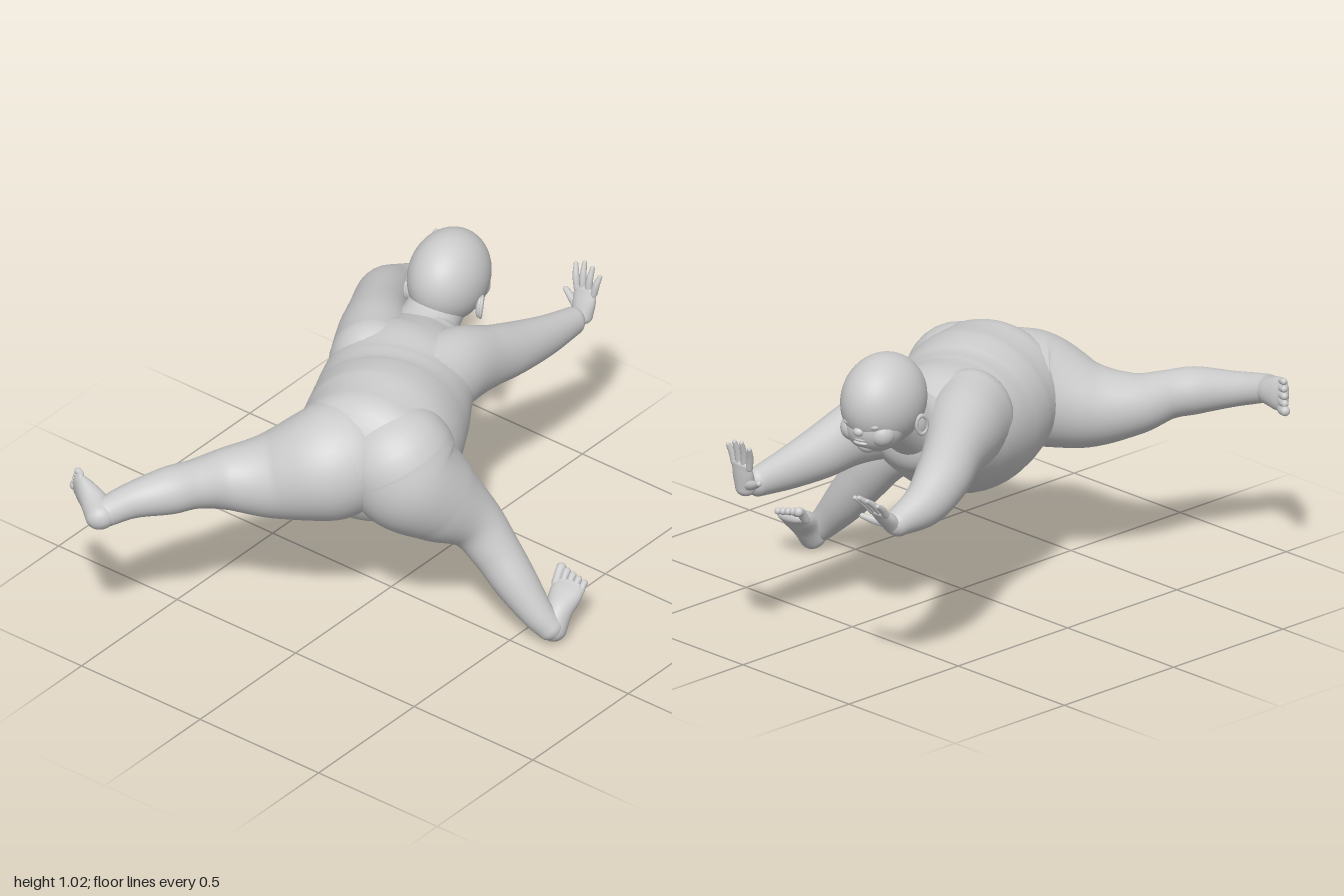
import * as THREE from 'three';

const material = new THREE.MeshStandardMaterial({ color: 0xcccccc, roughness: 0.8 });
const V = (x, y, z) => new THREE.Vector3(x, y, z);

// Smooth closed skin through elliptical stations [x, y, z, halfWidth, halfHeight], with domed ends.
function loftGeometry(stations, { sides = 32, steps = 8, cap = 0.9 } = {}) {
  const up = V(0, 1, 0);
  const path = new THREE.CatmullRomCurve3(stations.map(s => V(s[0], s[1], s[2])), false, 'catmullrom', 0.5);
  const size = new THREE.CatmullRomCurve3(stations.map(s => V(s[3], s[4] ?? s[3], 0)), false, 'catmullrom', 0.5);
  const rings = [];
  const domeSteps = 8;
  const addRing = (t, angle, sign) => {
    const tangent = path.getTangent(t);
    const r = size.getPoint(t);
    const side = up.clone().cross(tangent).normalize();
    const normal = tangent.clone().cross(side);
    const centre = path.getPoint(t).addScaledVector(tangent, sign * Math.sin(angle) * cap * Math.min(r.x, r.y));
    const k = Math.max(Math.cos(angle), 1e-4);
    rings.push({ centre, side: side.multiplyScalar(r.x * k), normal: normal.multiplyScalar(r.y * k) });
  };
  for (let i = domeSteps; i > 0; i--) addRing(0, (i / domeSteps) * Math.PI / 2, -1);
  const n = steps * (stations.length - 1);
  for (let i = 0; i <= n; i++) addRing(i / n, 0, 0);
  for (let i = 1; i <= domeSteps; i++) addRing(1, (i / domeSteps) * Math.PI / 2, 1);

  const position = [], index = [];
  rings.forEach((ring, i) => {
    for (let j = 0; j < sides; j++) {
      const a = (j / sides) * Math.PI * 2;
      const p = ring.centre.clone().addScaledVector(ring.side, Math.cos(a)).addScaledVector(ring.normal, Math.sin(a));
      position.push(p.x, p.y, p.z);
      if (i === rings.length - 1) continue;
      const k = (j + 1) % sides, r0 = i * sides, r1 = r0 + sides;
      index.push(r0 + j, r0 + k, r1 + j, r0 + k, r1 + k, r1 + j);
    }
  });
  const geometry = new THREE.BufferGeometry();
  geometry.setAttribute('position', new THREE.Float32BufferAttribute(position, 3));
  geometry.setIndex(index);
  geometry.computeVertexNormals();
  return geometry;
}

function add(parent, name, geometry) {
  const mesh = new THREE.Mesh(geometry, material);
  mesh.name = name;
  parent.add(mesh);
  return mesh;
}

const loft = (parent, name, stations, options) => add(parent, name, loftGeometry(stations, options));

function ellipsoid(parent, name, centre, radii) {
  const mesh = add(parent, name, new THREE.SphereGeometry(1, 40, 28));
  mesh.position.set(...centre);
  mesh.scale.set(...radii);
}

// Group whose local +z runs along dir and whose local +y points to the back of the hand or top of the foot.
function frame(parent, name, origin, dir, dorsal) {
  const z = V(...dir).normalize();
  const x = V(...dorsal).cross(z).normalize();
  const y = z.clone().cross(x);
  const group = new THREE.Group();
  group.name = name;
  group.position.set(...origin);
  group.quaternion.setFromRotationMatrix(new THREE.Matrix4().makeBasis(x, y, z));
  parent.add(group);
  return group;
}

const small = { sides: 12, steps: 5 };

function hand(parent, name, origin, dir, dorsal, thumbSide) {
  const g = frame(parent, name, origin, dir, dorsal);
  loft(g, 'palm', [[0, 0, 0, 0.036, 0.032], [0, 0, 0.05, 0.044, 0.024], [0, 0, 0.09, 0.043, 0.015]], { sides: 20, steps: 5 });
  const lengths = [0.085, 0.1, 0.092, 0.07];
  lengths.forEach((length, i) => {
    const u = (1.5 - i) * thumbSide;
    const x = u * 0.023, spread = u * 0.011;
    loft(g, 'finger', [
      [x, 0, 0.085, 0.012],
      [x + spread * 0.5, 0.004, 0.085 + length * 0.5, 0.0115],
      [x + spread, 0, 0.085 + length * 0.95, 0.008],
    ], small);
  });
  loft(g, 'thumb', [
    [0.02 * thumbSide, -0.004, 0.018, 0.019],
    [0.058 * thumbSide, -0.014, 0.036, 0.015],
    [0.094 * thumbSide, -0.02, 0.058, 0.01],
  ], small);
}

function foot(parent, name, origin, dir, dorsal, bigToeSide) {
  const g = frame(parent, name, origin, dir, dorsal);
  loft(g, 'sole', [
    [0, 0, 0, 0.046, 0.05],
    [0, 0.006, 0.06, 0.047, 0.047],
    [0, -0.002, 0.12, 0.056, 0.034],
    [0, -0.01, 0.158, 0.055, 0.021],
  ], { sides: 24 });
  for (let i = 0; i < 5; i++) {
    const x = (2 - i) * 0.0235 * bigToeSide;
    const r = i === 0 ? 0.017 : 0.0135 - i * 0.0004;
    const tip = 0.206 - i * 0.007;
    loft(g, 'toe', [[x, -0.008, 0.15, r * 0.9], [x, -0.002, tip - 0.016, r * 0.9], [x, -0.006, tip, r]], small);
  }
}

function buildHead(parent) {
  const g = new THREE.Group();
  g.name = 'head';
  g.position.set(-0.195, 0.87, -0.545);
  g.rotation.y = 0.22;
  parent.add(g);
  ellipsoid(g, 'skull', [0, 0, 0], [0.132, 0.156, 0.168]);
  ellipsoid(g, 'lowerFace', [0, -0.07, -0.055], [0.105, 0.09, 0.098]);
  ellipsoid(g, 'chin', [0, -0.128, -0.098], [0.036, 0.028, 0.03]);
  ellipsoid(g, 'nose', [0, -0.068, -0.15], [0.019, 0.016, 0.017]);
  ellipsoid(g, 'noseBridge', [0, -0.045, -0.147], [0.011, 0.03, 0.012]);
  for (const y of [-0.098, -0.11]) ellipsoid(g, 'lip', [0, y, -0.137], [0.028, 0.008, 0.014]);
  for (const s of [-1, 1]) {
    ellipsoid(g, 'cheek', [s * 0.055, -0.08, -0.095], [0.045, 0.045, 0.045]);
    ellipsoid(g, 'eyelid', [s * 0.046, -0.045, -0.136], [0.022, 0.012, 0.013]);
    // Ear: a flat shell with a raised rim
    const ear = new THREE.Group();
    ear.name = 'ear';
    ear.position.set(s * 0.125, -0.072, 0.03);
    ear.rotation.set(-0.25, s * 0.35, 0);
    g.add(ear);
    ellipsoid(ear, 'earShell', [0, 0, 0], [0.012, 0.038, 0.024]);
    const rim = add(ear, 'earRim', new THREE.TorusGeometry(0.024, 0.006, 10, 28));
    rim.rotation.y = Math.PI / 2;
    rim.scale.set(0.9, 1.4, 1);
    rim.position.x = s * 0.007;
  }
}

export function createModel() {
  const model = new THREE.Group();
  model.name = 'crawlingBaby';

  // Torso from pelvis to upper chest
  loft(model, 'torso', [
    [0.055, 0.652, 0.2, 0.255, 0.23],
    [0.015, 0.634, 0.08, 0.27, 0.255],
    [-0.045, 0.627, -0.04, 0.267, 0.248],
    [-0.095, 0.645, -0.14, 0.257, 0.228],
    [-0.13, 0.67, -0.23, 0.243, 0.206],
    [-0.15, 0.685, -0.31, 0.215, 0.172],
    [-0.17, 0.7, -0.38, 0.15, 0.13],
  ], { sides: 48, cap: 0.6 });
  loft(model, 'neck', [[-0.17, 0.71, -0.34, 0.125], [-0.185, 0.755, -0.43, 0.1], [-0.195, 0.81, -0.51, 0.095]]);
  buildHead(model);

  // Arms reaching forward
  loft(model, 'leftArm', [
    [-0.215, 0.71, -0.17, 0.145, 0.165],
    [-0.3, 0.712, -0.29, 0.128, 0.145],
    [-0.392, 0.7, -0.42, 0.1, 0.113],
    [-0.472, 0.665, -0.55, 0.09, 0.098],
    [-0.513, 0.62, -0.67, 0.071, 0.078],
    [-0.522, 0.592, -0.8, 0.047, 0.046],
  ]);
  hand(model, 'leftHand', [-0.517, 0.585, -0.81], [0.08, 0.66, -0.7], [0, 0.7, 0.66], -1);

  loft(model, 'rightArm', [
    [-0.02, 0.69, -0.2, 0.14, 0.155],
    [0.0, 0.695, -0.34, 0.12, 0.14],
    [0.022, 0.67, -0.48, 0.086, 0.11],
    [0.03, 0.64, -0.61, 0.079, 0.092],
    [0.04, 0.617, -0.75, 0.062, 0.072],
    [0.045, 0.604, -0.89, 0.045, 0.05],
  ]);
  hand(model, 'rightHand', [0.045, 0.6, -0.945], [-0.05, 0.96, -0.24], [0, 0.24, 0.96], 1);

  // Leg stretched backward, with its buttock
  loft(model, 'leftLeg', [
    [-0.01, 0.647, 0.25, 0.198],
    [-0.048, 0.63, 0.31, 0.192],
    [-0.17, 0.588, 0.41, 0.146],
    [-0.272, 0.588, 0.52, 0.105],
    [-0.32, 0.604, 0.63, 0.082],
    [-0.362, 0.607, 0.72, 0.079],
    [-0.425, 0.6, 0.83, 0.06],
    [-0.46, 0.588, 0.92, 0.05],
  ], { sides: 40 });
  foot(model, 'leftFoot', [-0.462, 0.583, 0.948], [-0.87, 0.2, -0.46], [0.4, 0.1, -0.85], -1);

  // Leg reaching out to the side and down, with its buttock
  loft(model, 'rightLeg', [
    [0.145, 0.662, 0.155, 0.197],
    [0.187, 0.59, 0.138, 0.19],
    [0.257, 0.49, 0.06, 0.152],
    [0.335, 0.395, -0.015, 0.1],
    [0.405, 0.3, -0.04, 0.083],
    [0.485, 0.2, -0.05, 0.073],
    [0.563, 0.11, -0.06, 0.056],
    [0.608, 0.06, -0.075, 0.046],
  ], { sides: 40 });
  foot(model, 'rightFoot', [0.61, 0.047, -0.088], [-0.15, 0.72, -0.75], [0.2, 0.75, 0.72], 1);

  return model;
}
